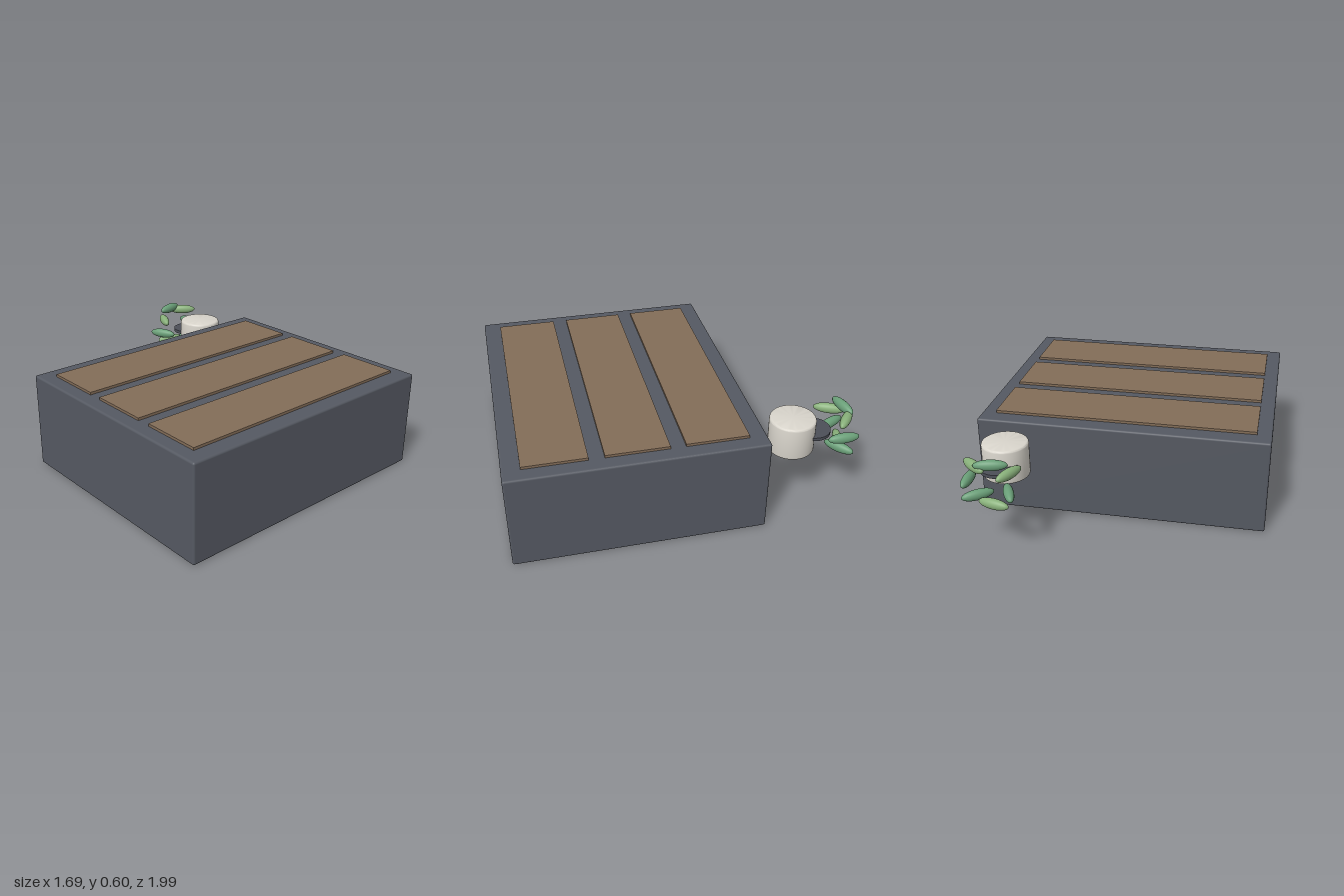
import * as THREE from 'three';
import { toCreasedNormals } from 'three/addons/utils/BufferGeometryUtils.js';
import { RoundedBoxGeometry } from 'three/addons/geometries/RoundedBoxGeometry.js';

const mat = (color) => new THREE.MeshStandardMaterial({ color });

export function createModel() {
  const model = new THREE.Group();
  const darkGrey = mat(0x555962);
  const wood = mat(0x836d58);
  const ceramic = mat(0xd9d5cc);
  const soilGrey = mat(0x4c4f58);
  const greens = [mat(0x6a9f78), mat(0x88b07a)];

  const add = (name, geometry, material, x, y, z, parent = model) => {
    const mesh = new THREE.Mesh(geometry, material);
    mesh.name = name;
    mesh.position.set(x, y, z);
    parent.add(mesh);
    return mesh;
  };

  // Large body block with softened edges
  add('body', new RoundedBoxGeometry(1.69, 0.57, 1.42, 3, 0.012), darkGrey, 0, 0.285, 0.29);

  // Three thin boards on the top
  const board = new THREE.BoxGeometry(1.52, 0.03, 0.35);
  for (let i = 0; i < 3; i++) {
    add('topBoard', board, wood, 0, 0.57, -0.145 + i * 0.435);
  }

  // Plant behind the block
  const plant = new THREE.Group();
  plant.name = 'plant';
  plant.position.set(0.605, 0.45, -0.625);
  model.add(plant);

  // Round pot with rounded rims
  const R = 0.132, H = 0.102, r = 0.014;
  const profile = [new THREE.Vector2(0, -H)];
  for (const side of [-1, 1]) {
    for (let i = 0; i <= 4; i++) {
      const a = (side < 0 ? i - 4 : i) * Math.PI / 8;
      profile.push(new THREE.Vector2(R - r + r * Math.cos(a), side * (H - r) + r * Math.sin(a)));
    }
  }
  profile.push(new THREE.Vector2(0, H));
  add('pot', toCreasedNormals(new THREE.LatheGeometry(profile, 48), 0.6), ceramic, 0, 0, 0, plant);

  // Soil disc
  add('soil', new THREE.CylinderGeometry(0.102, 0.102, 0.02, 40), soilGrey, 0, 0, -0.125, plant);

  // Seven leaves in an upright ring, each turned by its own angle
  const leaf = new THREE.SphereGeometry(1, 24, 16).scale(0.028, 0.031, 0.092);
  for (let i = 0; i < 7; i++) {
    const a = i / 7 * Math.PI * 2;
    const mesh = add('leaf', leaf, greens[i % 2],
      0.12 * Math.cos(a), 0.12 * Math.sin(a), -0.265 - (i % 3) * 0.02, plant);
    mesh.rotation.y = a;
  }

  return model;
}
